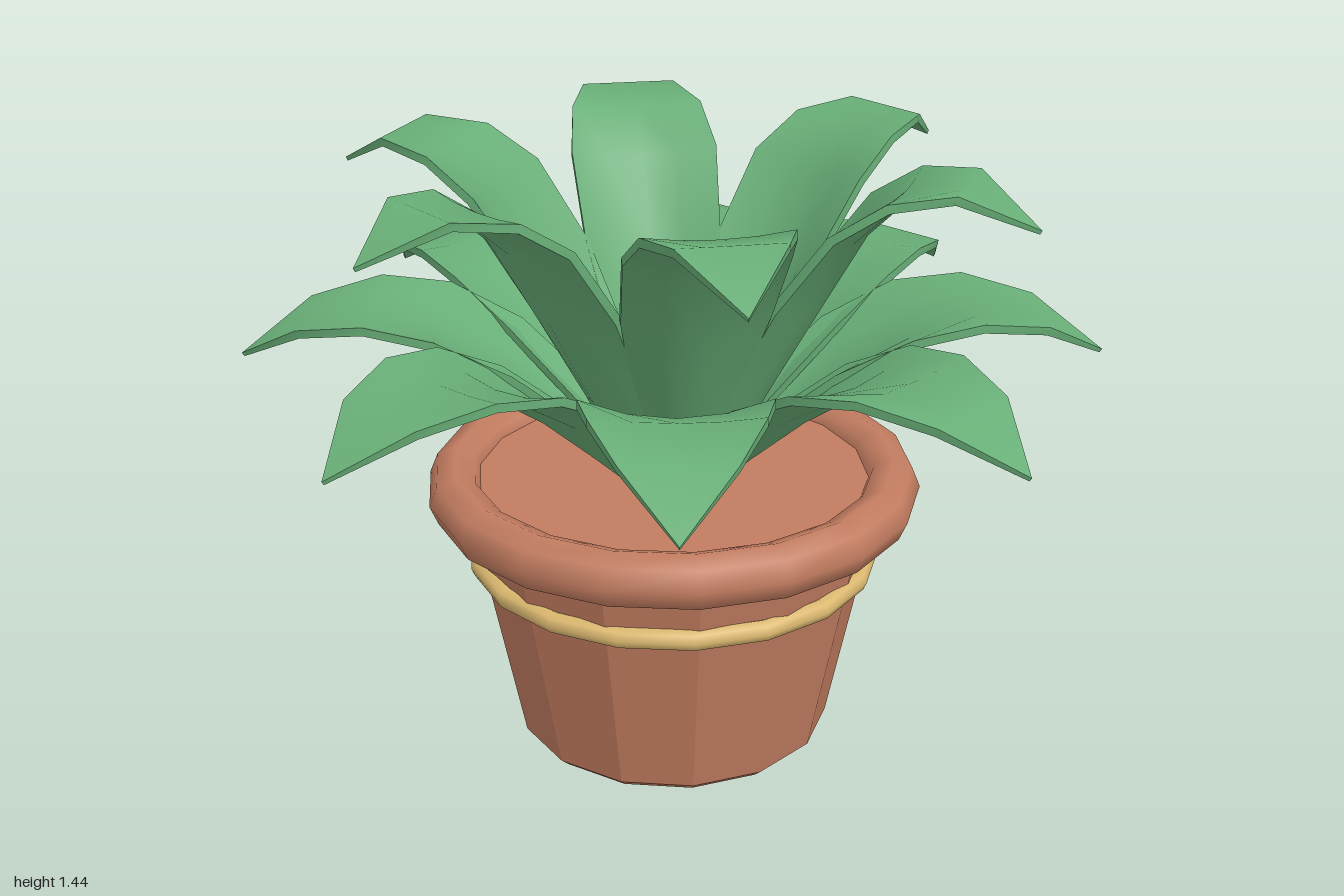
import * as THREE from 'three';
import { mergeGeometries } from 'three/addons/utils/BufferGeometryUtils.js';

const mat = (name, color) => Object.assign(new THREE.MeshStandardMaterial({ color }), { name });

// Smooth surface through a grid of points given as rows
function sheet(rows) {
  const n = rows[0].length, index = [];
  for (let i = 0; i < rows.length - 1; i++) {
    for (let j = 0; j < n - 1; j++) {
      const a = i * n + j, c = a + n;
      index.push(a, a + 1, c, a + 1, c + 1, c);
    }
  }
  const g = new THREE.BufferGeometry();
  g.setAttribute('position', new THREE.Float32BufferAttribute(rows.flat(2), 3));
  g.setIndex(index);
  g.computeVertexNormals();
  return g;
}

// Cupped, arching leaf growing along +x; stations are [reach, height, half width, cup]
function leafGeometry(stations) {
  const last = stations.length - 1;
  const point = (i, s, under) => {
    const [r, y, w, cup] = stations[i];
    const p = stations[Math.max(i - 1, 0)], q = stations[Math.min(i + 1, last)];
    const dr = q[0] - p[0], dy = q[1] - p[1], len = Math.hypot(dr, dy);
    const thickness = i === last ? 0.01 : 0.02;
    const h = cup * (s * s - 1) - (under ? thickness : 0);
    return [r - (dy / len) * h, y + (dr / len) * h, w * s];
  };
  const side = (columns) => sheet(stations.map((_, i) => columns.map(([s, under]) => point(i, s, under))));
  const across = [-1, -0.5, 0, 0.5, 1];
  return mergeGeometries([
    side(across.map((s) => [s, false])),
    side([[1, false], [1, true]]),
    side(across.map((s) => [-s, true])),
    side([[-1, true], [-1, false]]),
  ]);
}

export function createModel() {
  const terracotta = mat('terracotta', 0xc27c60);
  const green = mat('leaf green', 0x68ae77);
  const straw = mat('straw gold', 0xdcb970);

  const model = new THREE.Group();
  model.name = 'pottedPlant';
  const add = (name, geometry, material, y = 0) => {
    const mesh = new THREE.Mesh(geometry, material);
    mesh.name = name;
    mesh.position.y = y;
    model.add(mesh);
    return mesh;
  };

  // Faceted tapered pot
  const profile = [[0, 0], [0.36, 0], [0.382, 0.02], [0.498, 0.61]].map((p) => new THREE.Vector2(...p));
  const pot = new THREE.LatheGeometry(profile, 14).toNonIndexed();
  pot.computeVertexNormals();
  add('pot', pot, terracotta);

  // Rounded rim, decorative band and soil
  const ring = (radius, tube) => new THREE.TorusGeometry(radius, tube, 8, 18).rotateX(Math.PI / 2);
  add('rim', ring(0.522, 0.065), terracotta, 0.64);
  add('band', ring(0.471, 0.025), straw, 0.465);
  add('soil', new THREE.CircleGeometry(0.475, 18).rotateX(-Math.PI / 2), terracotta, 0.66);

  // Two tiers of leaves
  const outer = leafGeometry([
    [0.05, 0.66, 0.055, 0.035], [0.19, 0.83, 0.135, 0.065], [0.36, 0.98, 0.19, 0.065],
    [0.53, 1.068, 0.205, 0.04], [0.69, 1.095, 0.18, 0.012], [0.85, 1.065, 0.118, 0], [1, 0.967, 0, 0],
  ]);
  const inner = leafGeometry([
    [0.05, 0.66, 0.05, 0.035], [0.15, 0.92, 0.115, 0.065], [0.28, 1.16, 0.165, 0.065],
    [0.41, 1.34, 0.178, 0.04], [0.53, 1.42, 0.16, 0.012], [0.67, 1.44, 0.115, 0], [0.83, 1.35, 0, 0],
  ]);
  const tier = (name, geometry, count, turn) => {
    for (let i = 0; i < count; i++) {
      add(name + (i + 1), geometry, green).rotation.y = turn + (i * 2 * Math.PI) / count;
    }
  };
  tier('outerLeaf', outer, 8, 0);
  tier('innerLeaf', inner, 6, 0.42);

  return model;
}
